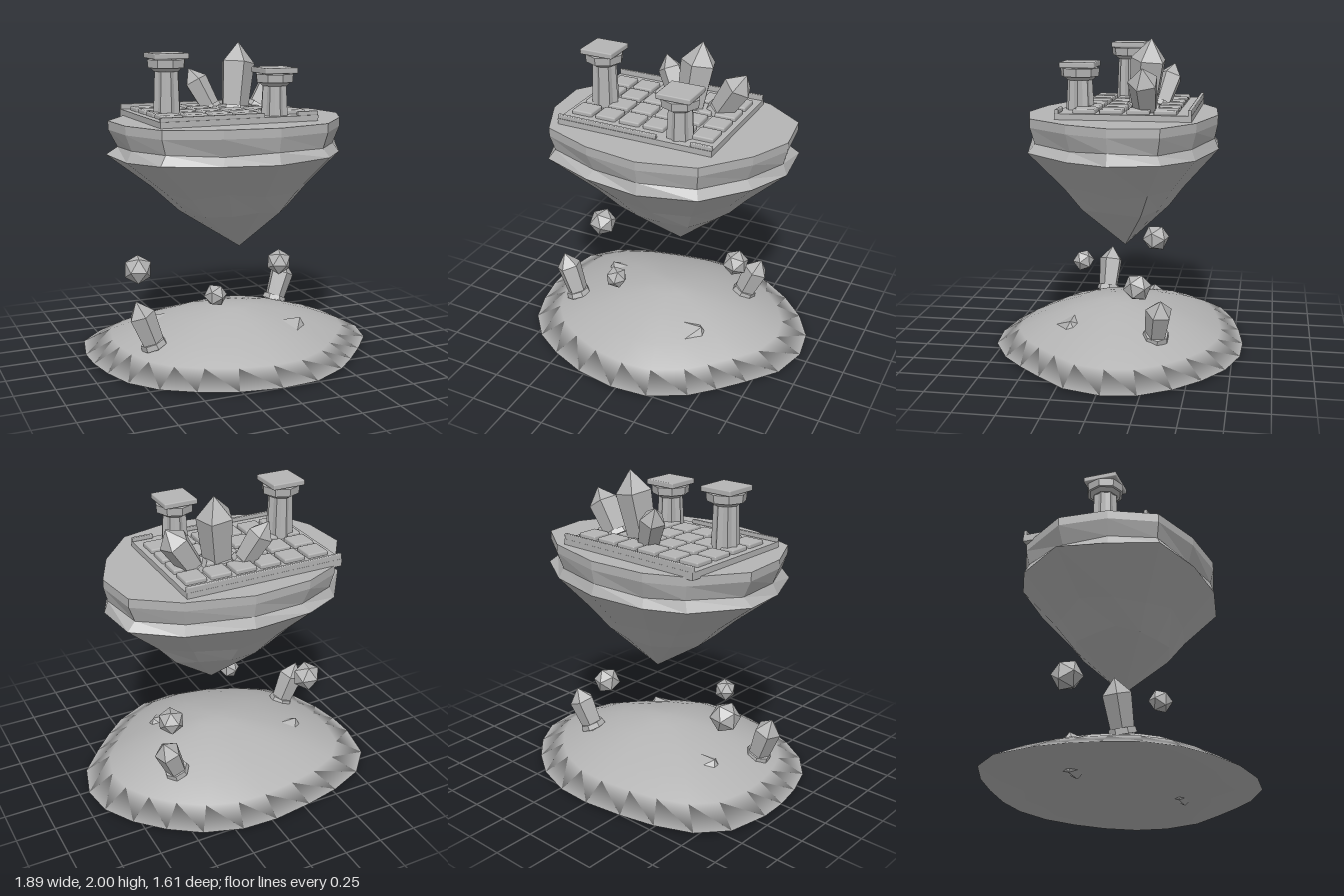
import * as THREE from 'three';
import { mergeVertices } from 'three/addons/utils/BufferGeometryUtils.js';
import { RoundedBoxGeometry } from 'three/addons/geometries/RoundedBoxGeometry.js';

const stone = new THREE.MeshStandardMaterial({ color: 0xb4b4b4 });
stone.name = 'grey stone';

function add(parent, name, geometry, x = 0, y = 0, z = 0) {
  const mesh = new THREE.Mesh(geometry, stone);
  mesh.name = name;
  mesh.position.set(x, y, z);
  parent.add(mesh);
  return mesh;
}

// Faceted copy of a geometry
function facet(geometry) {
  const g = geometry.index ? geometry.toNonIndexed() : geometry;
  g.computeVertexNormals();
  return g;
}

// Skin over scaled copies of an outline, listed from top to bottom as [scale, y, wobble]
function loft(outline, cx, cz, rings) {
  const pos = [], idx = [], n = outline.length;
  rings.forEach(([s, y, wobble = 0], i) => outline.forEach(([x, z], j) => {
    const w = wobble * Math.sin(j * 2.3 + i * 1.7);
    pos.push(cx + (x - cx) * s * (1 + w), y + w * 0.5, cz + (z - cz) * s * (1 + w));
    if (i < rings.length - 1) {
      const a = i * n + j, b = i * n + (j + 1) % n;
      idx.push(a, b, a + n, b, b + n, a + n);
    }
  }));
  let g = new THREE.BufferGeometry();
  g.setAttribute('position', new THREE.Float32BufferAttribute(pos, 3));
  g.setIndex(idx);
  g = mergeVertices(g);
  g.computeVertexNormals();
  return g;
}

// Five-sided crystal with a pointed tip and a low collar, running from base to tip
function crystal(parent, name, base, tip, r) {
  const group = new THREE.Group();
  group.name = name;
  const from = new THREE.Vector3(...base), dir = new THREE.Vector3(...tip).sub(from);
  const len = dir.length();
  group.position.copy(from);
  group.quaternion.setFromUnitVectors(new THREE.Vector3(0, 1, 0), dir.normalize());
  const profile = [[0, -0.02], [r * 0.78, -0.02], [r, len * 0.7], [0, len]]
    .map(p => new THREE.Vector2(...p));
  add(group, 'crystalBody', facet(new THREE.LatheGeometry(profile, 5)));
  add(group, 'crystalCollar', facet(new THREE.CylinderGeometry(r * 0.9, r * 0.98, 0.035, 7)), 0, 0.015);
  parent.add(group);
}

// Fluted column with an octagonal neck and a square cap
function column(parent, name, x, z, top) {
  const group = new THREE.Group();
  group.name = name;
  group.position.set(x, 0, z);
  const bottom = 1.56, h = top - 0.09 - bottom;
  const shaft = new THREE.CylinderGeometry(0.076, 0.088, h, 16, 1);
  const p = shaft.attributes.position;
  for (let i = 0; i < p.count; i++) {
    const step = Math.round(Math.atan2(p.getX(i), p.getZ(i)) / (Math.PI / 8));
    if (step % 2) { p.setX(i, p.getX(i) * 0.82); p.setZ(i, p.getZ(i) * 0.82); }
  }
  add(group, 'shaft', facet(shaft), 0, bottom + h / 2);
  add(group, 'neckTaper', facet(new THREE.CylinderGeometry(0.105, 0.08, 0.025, 8)), 0, top - 0.1);
  add(group, 'neck', facet(new THREE.CylinderGeometry(0.122, 0.118, 0.05, 8)), 0, top - 0.065);
  add(group, 'capSlab', new RoundedBoxGeometry(0.22, 0.036, 0.22, 1, 0.008), 0, top - 0.018);
  parent.add(group);
}

export function createModel() {
  const model = new THREE.Group();
  model.name = 'floatingIsland';

  // Smooth ground mound with a flat underside
  const shore = [[-0.02, -0.81], [0.21, -0.8], [0.45, -0.72], [0.64, -0.59], [0.8, -0.43],
    [0.915, -0.24], [0.945, -0.03], [0.88, 0.2], [0.73, 0.38], [0.59, 0.53], [0.45, 0.66],
    [0.22, 0.78], [-0.02, 0.8], [-0.28, 0.755], [-0.51, 0.66], [-0.7, 0.54], [-0.84, 0.37],
    [-0.91, 0.17], [-0.945, -0.02], [-0.95, -0.2], [-0.895, -0.46], [-0.74, -0.63],
    [-0.51, -0.725], [-0.28, -0.775]];
  add(model, 'groundMound', loft(shore, 0, 0, [[0, 0.312], [0.14, 0.305], [0.38, 0.262],
    [0.63, 0.185], [0.82, 0.11], [1, 0.02], [0, 0.02]]));

  // Half-buried boulders
  for (const [x, z, h] of [[-0.46, -0.17, 0.12], [0.29, 0.26, 0.125]]) {
    const rock = add(model, 'buriedRock', facet(new THREE.IcosahedronGeometry(1, 0)), x, h, z);
    rock.scale.set(0.13, 0.141, 0.12);
  }

  // Hovering rocks
  for (const [x, y, z, r] of [[-0.6, 0.56, -0.165, 0.097], [-0.245, 0.475, 0.29, 0.073],
    [0.41, 0.505, -0.17, 0.088]]) {
    const rock = add(model, 'hoveringRock', facet(new THREE.IcosahedronGeometry(r, 0)), x, y, z);
    rock.rotation.set(0.1, x * 3, 0.05);
  }

  // Faceted island with a waist below its rim and a pointed underside
  const cliff = [[-0.32, -0.6], [0.06, -0.63], [0.47, -0.525], [0.73, -0.34], [0.77, -0.04],
    [0.65, 0.22], [0.42, 0.49], [0.06, 0.58], [-0.29, 0.535], [-0.625, 0.41], [-0.76, 0.13],
    [-0.78, -0.18], [-0.56, -0.49]];
  add(model, 'islandRock', facet(loft(cliff, 0.06, -0.045, [[0, 1.53], [0.99, 1.53],
    [0.99, 1.475], [0.94, 1.375, 0.02], [1, 1.315, 0.015], [0.66, 1.09, 0.04],
    [0.48, 0.95, 0.03], [0, 0.68]])));

  // Paved terrace with edge rails
  add(model, 'terraceSlab', new THREE.BoxGeometry(1.03, 0.046, 0.82), -0.085, 1.543, -0.08);
  for (let i = 0; i < 6; i++) {
    for (let j = 0; j < 4; j++) {
      add(model, 'pavingTile', new RoundedBoxGeometry(0.138, 0.036, 0.138, 1, 0.01),
        -0.49 + 0.163 * i, 1.574, -0.33 + 0.163 * j);
    }
  }
  add(model, 'backRail', new RoundedBoxGeometry(1.03, 0.04, 0.022, 1, 0.006), -0.085, 1.58, -0.478);
  add(model, 'frontRailRight', new RoundedBoxGeometry(0.67, 0.028, 0.024, 1, 0.006), -0.265, 1.578, 0.317);
  add(model, 'frontRailLeft', new RoundedBoxGeometry(0.14, 0.028, 0.024, 1, 0.006), 0.36, 1.578, 0.317);

  column(model, 'tallColumn', -0.445, 0, 1.95);
  column(model, 'shortColumn', 0.18, 0.22, 1.86);

  // Crystals on the terrace and the mound
  crystal(model, 'tallCrystal', [0.07, 1.56, -0.16], [0.125, 2, -0.215], 0.115);
  crystal(model, 'leftCrystal', [0.25, 1.56, -0.2], [0.425, 1.84, -0.195], 0.095);
  crystal(model, 'rightCrystal', [-0.05, 1.56, -0.25], [-0.18, 1.83, -0.33], 0.08);
  crystal(model, 'moundCrystalRight', [-0.61, 0.16, 0.18], [-0.72, 0.455, 0.165], 0.085);
  crystal(model, 'moundCrystalLeft', [0.43, 0.2, -0.29], [0.535, 0.465, -0.33], 0.085);

  return model;
}
